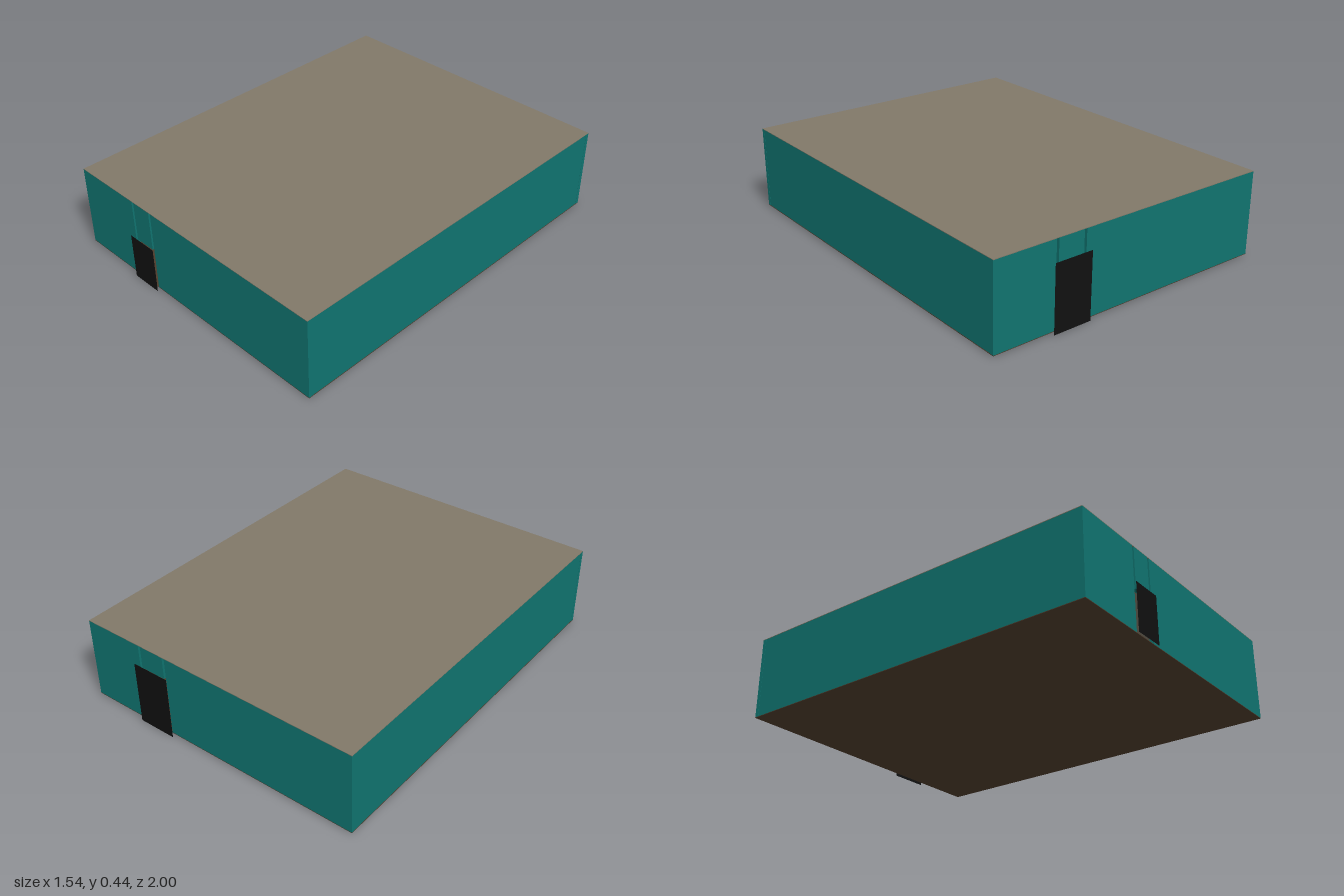
import * as THREE from 'three';

const teal = new THREE.MeshStandardMaterial({ color: 0x10736f });
teal.name = 'tealWall';
const taupe = new THREE.MeshStandardMaterial({ color: 0x807868 });
taupe.name = 'taupeCeiling';
const brown = new THREE.MeshStandardMaterial({ color: 0x4c3a2a });
brown.name = 'brownFloor';
const black = new THREE.MeshStandardMaterial({ color: 0x101010, side: THREE.DoubleSide });
black.name = 'blackDoor';

const HALF_X = 0.77, HALF_Z = 0.982, THICK = 0.02;
const BOTTOM = 0.008, TOP = 0.433;

// Box given by its extents
function block(name, material, x0, x1, y0, y1, z0, z1) {
  const mesh = new THREE.Mesh(new THREE.BoxGeometry(x1 - x0, y1 - y0, z1 - z0), material);
  mesh.position.set((x0 + x1) / 2, (y0 + y1) / 2, (z0 + z1) / 2);
  mesh.name = name;
  return mesh;
}

// End wall with a doorway, a lintel set between narrow slits, and a flat door panel outside
function endWall(name, sign, doorX, doorW, doorH, openW) {
  const wall = new THREE.Group();
  wall.name = name;
  const inner = sign * (HALF_Z - THICK), outer = sign * HALF_Z;
  const z0 = Math.min(inner, outer), z1 = Math.max(inner, outer);
  const left = doorX - openW / 2, right = doorX + openW / 2, slit = 0.013;
  wall.add(
    block('wallSegment', teal, -HALF_X, left, BOTTOM, TOP, z0, z1),
    block('wallSegment', teal, right, HALF_X, BOTTOM, TOP, z0, z1),
    block('lintel', teal, left + slit, right - slit, doorH - 0.02, TOP, z0, z1)
  );
  const door = new THREE.Mesh(new THREE.PlaneGeometry(doorW, doorH), black);
  door.position.set(doorX, doorH / 2, sign);
  if (sign < 0) door.rotation.y = Math.PI;
  door.name = 'door';
  wall.add(door);
  return wall;
}

export function createModel() {
  const room = new THREE.Group();
  room.name = 'room';

  // Floor and ceiling slabs
  room.add(block('floor', brown, -HALF_X, HALF_X, 0.005, BOTTOM, -HALF_Z, HALF_Z));
  room.add(block('ceiling', taupe, -HALF_X, HALF_X, TOP, 0.436, -HALF_Z, HALF_Z));

  // Long side walls, fitted between the end walls
  const zEnd = HALF_Z - THICK;
  room.add(block('leftWall', teal, HALF_X - THICK, HALF_X - 0.001, BOTTOM, TOP, -zEnd, zEnd));
  room.add(block('rightWall', teal, -HALF_X + 0.001, -HALF_X + THICK, BOTTOM, TOP, -zEnd, zEnd));

  // End walls with doors
  room.add(endWall('frontWall', 1, -0.32, 0.165, 0.243, 0.138));
  room.add(endWall('backWall', -1, 0.362, 0.204, 0.335, 0.165));
  return room;
}
